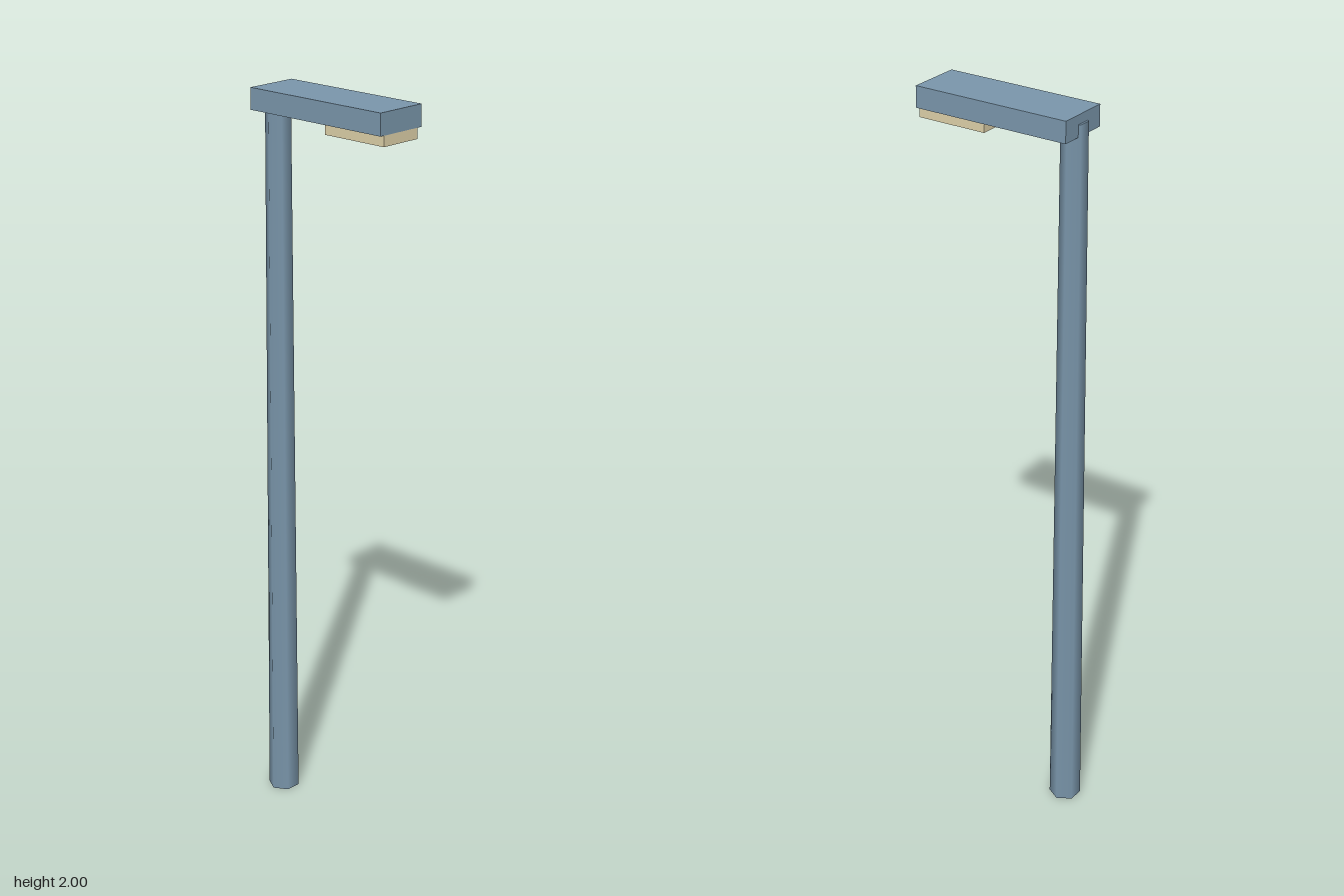
import * as THREE from 'three';

export function createModel() {
  const group = new THREE.Group();
  const steel = new THREE.MeshStandardMaterial({ name: 'blueGreySteel', color: 0x7a96ab });
  const cream = new THREE.MeshStandardMaterial({ name: 'creamLamp', color: 0xddd0a8 });

  const add = (name, geometry, material, x, y, z = 0) => {
    const mesh = new THREE.Mesh(geometry, material);
    mesh.name = name;
    mesh.position.set(x, y, z);
    group.add(mesh);
  };

  // Tapered six-sided pole, smooth shaded, ending inside the arm
  add('pole', new THREE.CylinderGeometry(0.034, 0.0425, 1.975, 6), steel, -0.191, 0.9875);

  // Flat overhanging arm
  add('arm', new THREE.BoxGeometry(0.442, 0.057, 0.148), steel, 0.006, 1.9715);

  // Lamp panel under the free end of the arm
  add('lamp', new THREE.BoxGeometry(0.195, 0.029, 0.122), cream, 0.129, 1.9295);

  return group;
}
